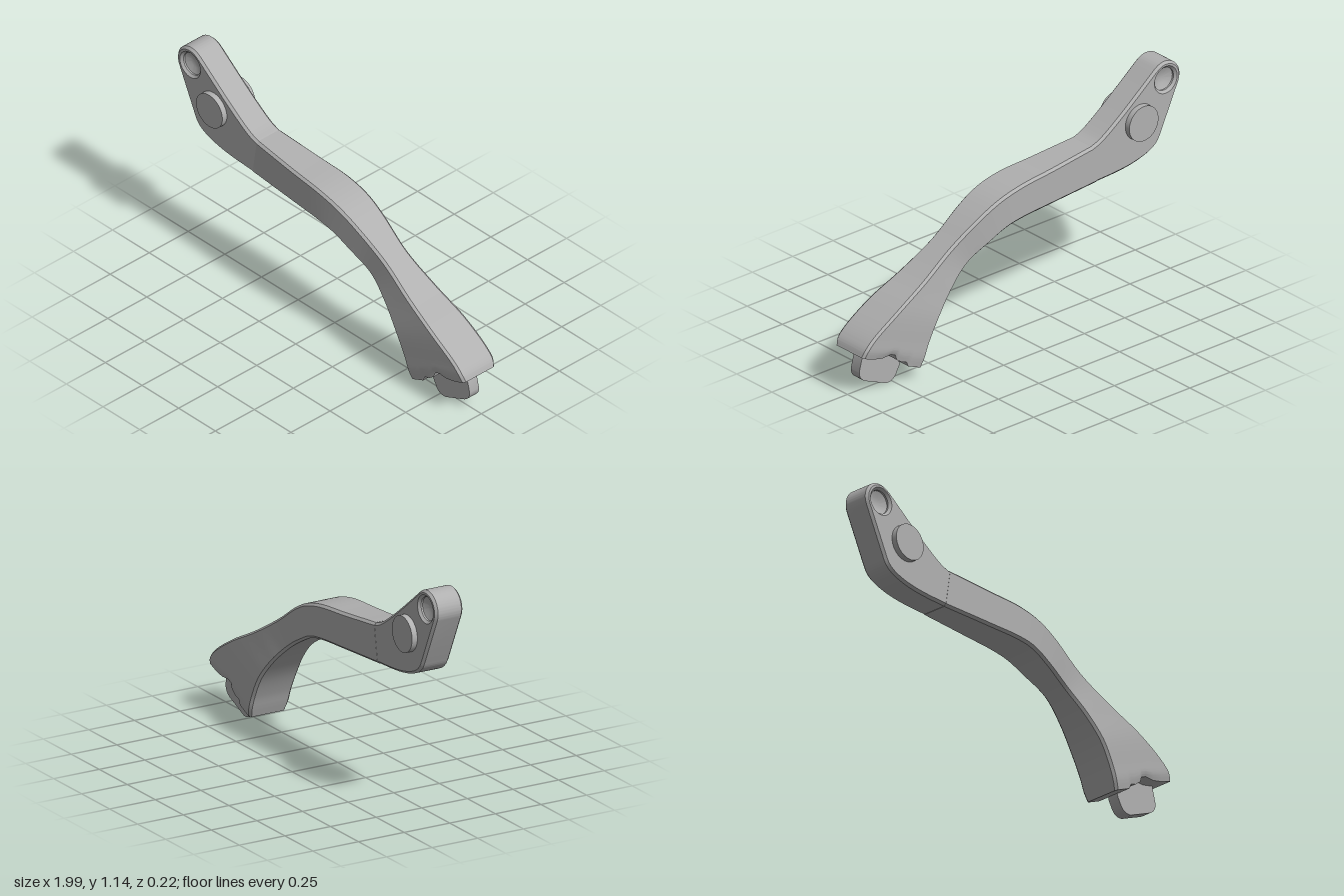
import * as THREE from 'three';
import { toCreasedNormals } from 'three/addons/utils/BufferGeometryUtils.js';

const V2 = (x, y) => new THREE.Vector2(x, y);
const CHAMFER = 0.012;

// Arm stations: top x, top y, bottom x, bottom y, half width
const STATIONS = [
  [-0.45, 0.842, -0.48, 0.648, 0.077],
  [-0.2, 0.818, -0.2, 0.636, 0.09],
  [0, 0.8, 0, 0.625, 0.098],
  [0.13, 0.768, 0.09, 0.607, 0.097],
  [0.24, 0.715, 0.19, 0.56, 0.09],
  [0.42, 0.6, 0.32, 0.485, 0.076],
  [0.6, 0.49, 0.43, 0.39, 0.092],
  [0.78, 0.395, 0.52, 0.28, 0.108],
  [0.93, 0.3, 0.58, 0.17, 0.109],
  [0.975, 0.255, 0.607, 0.1, 0.108],
  [0.99, 0.222, 0.625, 0.055, 0.1],
];

// Notch in the foot: fraction from top to bottom edge, depth
const NOTCH = [[0, 0], [0.15, 0.004], [0.3, 0.016], [0.42, 0.04], [0.5, 0.042],
  [0.55, 0.02], [0.65, 0.012], [0.73, 0.017], [0.79, -0.003], [1, 0]];

// Chamfered cross-sections lofted along the arm
function armGeometry(steps = 70) {
  const curve = (a, b) => new THREE.CatmullRomCurve3(
    STATIONS.map((s) => new THREE.Vector3(s[a], s[a + 1], b === undefined ? 0 : s[b])), false, 'centripetal');
  const top = curve(0, 4);
  const bottom = curve(2);
  const pos = [];
  const index = [];
  const ring = 2 * (NOTCH.length + 2);
  for (let i = 0; i <= steps; i++) {
    const u = i / steps;
    const A = top.getPoint(u);
    const B = bottom.getPoint(u);
    const w = A.z;
    const len = Math.hypot(A.x - B.x, A.y - B.y);
    const nx = -(A.y - B.y) / len;
    const ny = (A.x - B.x) / len;
    const c = CHAMFER / len;
    const weight = Math.max(0, (u - 0.8) / 0.2);
    const half = [[0, 0, w - CHAMFER],
      ...NOTCH.map(([t, d]) => [c + (1 - 2 * c) * t, d * weight, w]),
      [1, 0, w - CHAMFER]];
    const full = [...half, ...half.map(([t, d, z]) => [t, d, -z]).reverse()];
    for (const [t, d, z] of full) {
      pos.push(A.x + (B.x - A.x) * t + nx * d, A.y + (B.y - A.y) * t + ny * d, z);
    }
  }
  for (let i = 0; i < steps; i++) {
    for (let j = 0; j < ring; j++) {
      const k = (j + 1) % ring;
      const a = i * ring + j, b = i * ring + k;
      index.push(a, b, b + ring, a, b + ring, a + ring);
    }
  }
  // End faces
  const e = steps * ring;
  for (let j = 0; j < ring / 2 - 1; j++) {
    const m = ring - 1 - j;
    index.push(e + j, e + j + 1, e + m - 1, e + j, e + m - 1, e + m);
    index.push(j, m - 1, j + 1, j, m, m - 1);
  }
  const g = new THREE.BufferGeometry();
  g.setAttribute('position', new THREE.Float32BufferAttribute(pos, 3));
  g.setIndex(index);
  return toCreasedNormals(g, 0.5);
}

function extrude(shape, halfWidth, bevel) {
  const g = new THREE.ExtrudeGeometry(shape, {
    depth: 2 * (halfWidth - bevel), curveSegments: 20, bevelEnabled: bevel > 0,
    bevelThickness: bevel, bevelSize: bevel, bevelOffset: -bevel, bevelSegments: 1,
  });
  g.translate(0, 0, -(halfWidth - bevel));
  return toCreasedNormals(g, 0.5);
}

// Pivot head outline with its round socket
function headShape() {
  const s = new THREE.Shape();
  s.moveTo(-0.4, 0.824);
  s.splineThru([V2(-0.45, 0.841), V2(-0.52, 0.871), V2(-0.65, 0.962), V2(-0.848, 1.117)]);
  s.absarc(-0.908, 1.046, 0.092, 0.87, Math.PI + 0.42, false);
  s.lineTo(-0.885, 0.778);
  s.splineThru([V2(-0.86, 0.735), V2(-0.81, 0.7), V2(-0.72, 0.672), V2(-0.6, 0.656), V2(-0.4, 0.647)]);
  s.closePath();
  const hole = new THREE.Path();
  hole.absarc(-0.906, 1.046, 0.058, 0, Math.PI * 2, true);
  s.holes.push(hole);
  return s;
}

// Rounded tongue held in the notch
function tongueShape() {
  const s = new THREE.Shape();
  s.moveTo(0.8, 0.24);
  s.lineTo(0.7, 0.095);
  s.lineTo(0.703, 0.07);
  s.lineTo(0.725, 0.03);
  s.quadraticCurveTo(0.745, -0.005, 0.79, 0.003);
  s.lineTo(0.915, 0.055);
  s.quadraticCurveTo(0.955, 0.075, 0.952, 0.115);
  s.lineTo(0.93, 0.2);
  s.lineTo(0.9, 0.25);
  s.closePath();
  return s;
}

export function createModel() {
  const model = new THREE.Group();
  const grey = new THREE.MeshStandardMaterial({ color: 0xb0b0b0 });
  grey.name = 'grey';
  const add = (name, geometry, x = 0, y = 0) => {
    const mesh = new THREE.Mesh(geometry, grey);
    mesh.name = name;
    mesh.position.set(x, y, 0);
    model.add(mesh);
  };

  add('arm', armGeometry());
  add('pivotHead', extrude(headShape(), 0.076, CHAMFER));
  add('tongue', extrude(tongueShape(), 0.03, 0));

  // Dished floor of the sockets on both faces
  const dish = new THREE.LatheGeometry(
    [V2(0, -0.04), V2(0.03, -0.043), V2(0.06, -0.056), V2(0.06, 0.056), V2(0.03, 0.043), V2(0, 0.04)], 32);
  dish.rotateX(Math.PI / 2);
  add('socketFloor', toCreasedNormals(dish, 0.6), -0.906, 1.046);

  // Pivot pin standing proud of both faces
  const pin = new THREE.CylinderGeometry(0.09, 0.09, 0.21, 48);
  pin.rotateX(Math.PI / 2);
  add('pivotPin', pin, -0.745, 0.88);

  return model;
}
